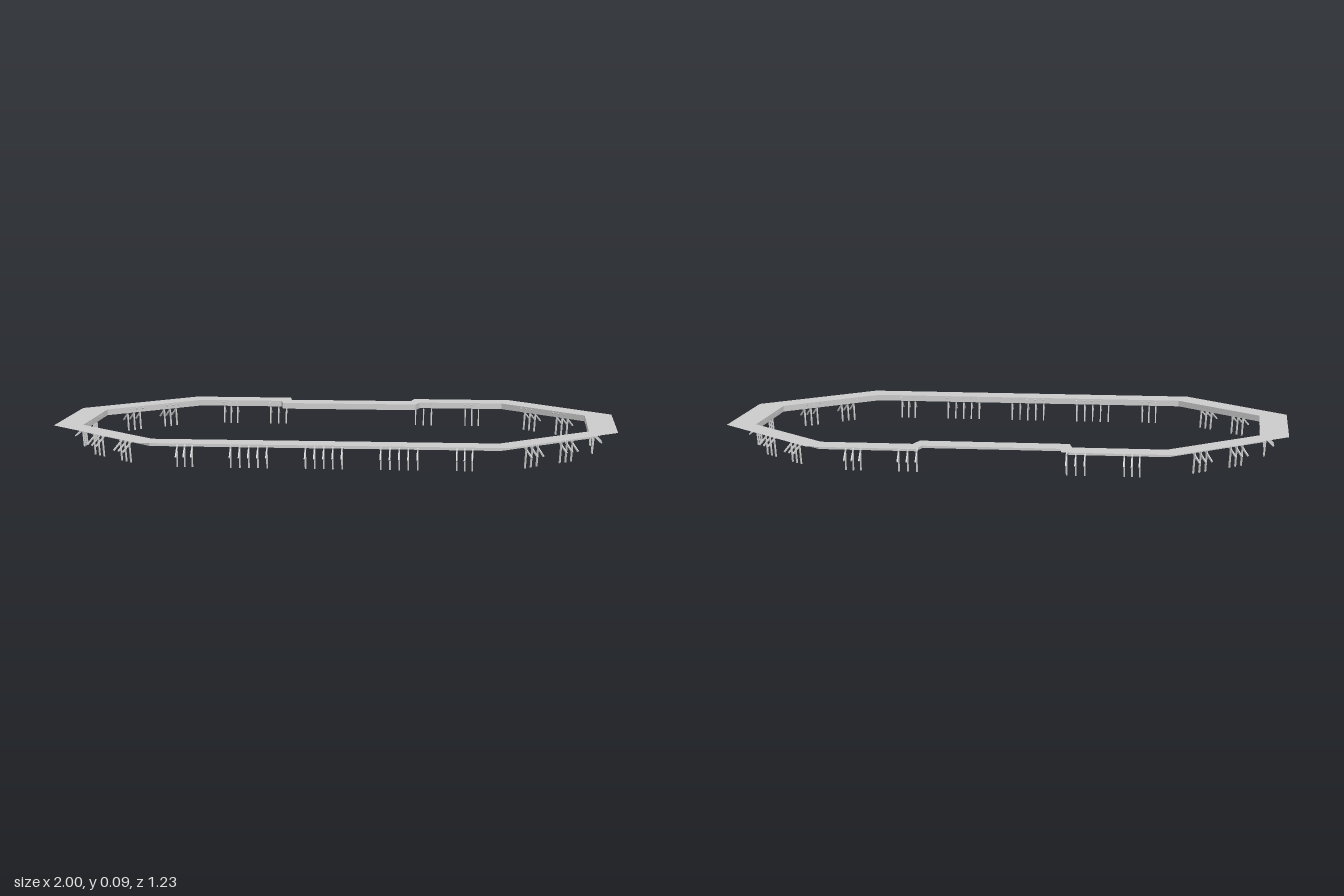
import * as THREE from 'three';

const TOP = 0.093;

// Half outlines (+x side) as [x, z], running from the back centre to the front centre
const OUTER = [[0.235, -0.55], [0.245, -0.615], [0.62, -0.615], [1, -0.235], [1, 0.233], [0.62, 0.613]];
const INNER = [[0.258, -0.457], [0.272, -0.52], [0.59, -0.52], [0.9, -0.209], [0.9, 0.205], [0.59, 0.514]];

const mirror = half => [...half, ...half.map(([x, z]) => [-x, z]).reverse()];

// Mitred offset of a closed outline, positive values go outwards
function offset(points, d) {
  const n = points.length;
  const normal = (a, b) => {
    const dx = b[0] - a[0], dz = b[1] - a[1], l = Math.hypot(dx, dz);
    return [dz / l, -dx / l];
  };
  return points.map((p, i) => {
    const a = normal(points[(i + n - 1) % n], p);
    const b = normal(p, points[(i + 1) % n]);
    const k = d / (1 + a[0] * b[0] + a[1] * b[1]);
    return [p[0] + (a[0] + b[0]) * k, p[1] + (a[1] + b[1]) * k];
  });
}

// The hole runs opposite to the outline so that its walls face inwards
function ringShape(outer, inner) {
  const toV = pts => pts.map(([x, z]) => new THREE.Vector2(x, -z));
  const shape = new THREE.Shape(toV(outer));
  shape.holes.push(new THREE.Path(toV(inner).reverse()));
  return shape;
}

export function createModel() {
  const model = new THREE.Group();
  const material = new THREE.MeshStandardMaterial({ color: 0xcccccc, flatShading: true });
  const sheet = new THREE.MeshStandardMaterial({ color: 0xcccccc, side: THREE.DoubleSide });
  const outer = mirror(OUTER), inner = mirror(INNER);

  // Thin flat counter top
  const top = new THREE.Mesh(new THREE.ShapeGeometry(ringShape(outer, inner)).rotateX(-Math.PI / 2), sheet);
  top.position.y = TOP;
  top.name = 'counterTop';
  model.add(top);

  // Edge beam hanging below the inner rim
  const beamGeometry = new THREE.ExtrudeGeometry(ringShape(offset(inner, 0.014), inner),
    { depth: 0.022, bevelEnabled: false }).rotateX(-Math.PI / 2);
  const beam = new THREE.Mesh(beamGeometry, material);
  beam.position.y = TOP - 0.023;
  beam.name = 'edgeBeam';
  model.add(beam);

  // Square bar between two points of the local cross-section [outward, y]
  function bar(name, a, b) {
    const dz = b[0] - a[0], dy = b[1] - a[1];
    const mesh = new THREE.Mesh(new THREE.BoxGeometry(0.005, Math.hypot(dz, dy), 0.005), material);
    mesh.position.set(0, (a[1] + b[1]) / 2, (a[0] + b[0]) / 2);
    mesh.rotation.x = Math.atan2(dz, dy);
    mesh.name = name;
    return mesh;
  }

  // Post with a diagonal strut, standing outside the inner rim
  function support(x, z, nx, nz) {
    const group = new THREE.Group();
    group.add(bar('post', [0.016, 0], [0.023, 0.074]), bar('strut', [0.05, 0.038], [0, 0.086]));
    group.position.set(x, 0, z);
    group.rotation.y = Math.atan2(nx, nz);
    group.name = 'support';
    model.add(group);
  }

  // Row of supports along a rim line, centred on (x, z)
  function cluster(x, z, nx, nz, count, gap) {
    for (let i = 0; i < count; i++) {
      const t = (i - (count - 1) / 2) * gap;
      support(x + nz * t, z - nx * t, nx, nz);
    }
  }

  cluster(0, 0.514, 0, 1, 5, 0.031);
  for (const s of [-1, 1]) {
    // Front and back runs
    cluster(s * 0.255, 0.514, 0, 1, 5, 0.031);
    cluster(s * 0.475, 0.514, 0, 1, 3, 0.026);
    cluster(s * 0.475, -0.52, 0, -1, 3, 0.026);
    cluster(s * 0.286, -0.52, 0, -1, 3, 0.031);
    for (const f of [-1, 1]) {
      // Side runs and diagonal runs
      cluster(s * 0.9, f * 0.09, s, 0, 3, 0.026);
      for (const t of [-0.06, 0.06])
        cluster(s * (0.745 + t), f * (0.361 - t), s * Math.SQRT1_2, f * Math.SQRT1_2, 3, 0.028);
    }
  }
  return model;
}
